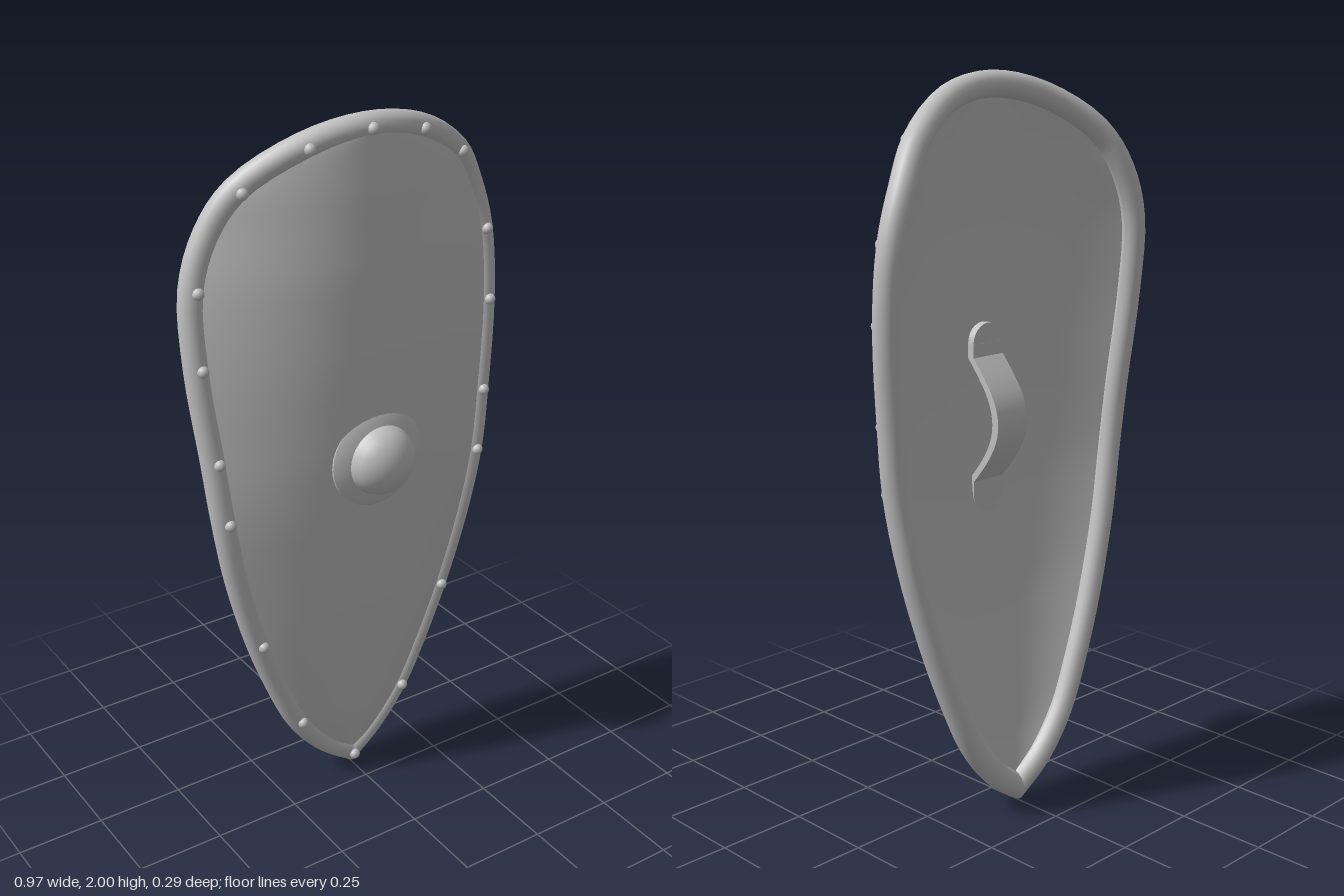
import * as THREE from 'three';
import { toCreasedNormals } from 'three/addons/utils/BufferGeometryUtils.js';

// Centre line of the rim, bottom tip to top, on the +x side: x, y, z
const EDGE = [
  [0, 0.04, -0.095], [0.09, 0.11, -0.1], [0.175, 0.22, -0.1], [0.24, 0.36, -0.095],
  [0.305, 0.535, -0.087], [0.368, 0.76, -0.075], [0.405, 0.96, -0.066], [0.425, 1.14, -0.072],
  [0.45, 1.4, -0.09], [0.445, 1.6, -0.105], [0.4, 1.735, -0.1], [0.33, 1.84, -0.073],
  [0.17, 1.935, -0.02], [0, 1.965, 0],
].map(p => new THREE.Vector3(...p));
const RIVETED = [0, 2, 4, 6, 7, 8, 9, 11, 12, 13];

// Front face depth along the middle of the board: y, z
const RIDGE = [[0.04, -0.075], [0.2, -0.038], [0.4, -0.006], [0.6, 0.024], [0.9, 0.05],
  [1.1, 0.062], [1.35, 0.066], [1.6, 0.06], [1.8, 0.046], [1.965, 0.03]];
const RIM_R = 0.035, STEPS = 104;

function ridgeZ(y) {
  let k = 0;
  while (k < RIDGE.length - 2 && RIDGE[k + 1][0] < y) k++;
  const [y0, z0] = RIDGE[k], [y1, z1] = RIDGE[k + 1];
  return THREE.MathUtils.mapLinear(y, y0, y1, z0, z1);
}

// Smooth surface from a rule giving a point for each row and column
function surface(rows, cols, point) {
  const pos = [], index = [], w = cols + 1;
  for (let i = 0; i <= rows; i++) {
    for (let j = 0; j <= cols; j++) pos.push(...point(i, j).toArray());
  }
  for (let i = 0; i < rows; i++) {
    for (let j = 0; j < cols; j++) {
      const a = i * w + j, b = a + w;
      index.push(a, b, a + 1, b, b + 1, a + 1);
    }
  }
  const geo = new THREE.BufferGeometry();
  geo.setAttribute('position', new THREE.Float32BufferAttribute(pos, 3));
  geo.setIndex(index);
  geo.computeVertexNormals();
  return geo;
}

export function createModel() {
  const group = new THREE.Group();
  group.name = 'kiteShield';
  const grey = new THREE.MeshStandardMaterial({ color: 0xc0c0c0 });
  grey.name = 'plain grey';
  const add = (name, geo, parent = group) => {
    const mesh = new THREE.Mesh(geo, grey);
    mesh.name = name;
    parent.add(mesh);
    return mesh;
  };

  const mirrored = EDGE.slice(0, -1).reverse().map(p => new THREE.Vector3(-p.x, p.y, p.z));
  const curve = new THREE.CatmullRomCurve3([...EDGE, ...mirrored]);
  const path = curve.getPoints(STEPS);

  // Curved board, front and back skins
  const COLS = 24;
  const skin = (side, offset) => surface(STEPS / 2, COLS, (i, j) => {
    const p = path[i], t = side * (1 - 2 * j / COLS);
    const edge = p.z + 0.02;
    const z = edge + (ridgeZ(p.y) - edge) * (1 - t * t) + offset;
    return new THREE.Vector3(p.x * t, p.y, z);
  });
  add('boardFront', skin(1, 0));
  add('boardBack', skin(-1, -0.03));

  // Round rim with a mitred bottom tip
  const SIDES = 16;
  add('rim', surface(STEPS, SIDES, (i, j) => {
    const tip = i === 0 || i === STEPS;
    const t = curve.getTangent(i / STEPS);
    const n = tip ? new THREE.Vector3(0, -1, 0) : new THREE.Vector3(t.y, -t.x, 0).normalize();
    const b = tip ? new THREE.Vector3(0, 0, 1) : n.clone().cross(t).normalize();
    const phi = -Math.PI + j / SIDES * Math.PI * 2;
    return path[i].clone()
      .addScaledVector(n, Math.cos(phi) * RIM_R * (tip ? 1.14 : 1))
      .addScaledVector(b, Math.sin(phi) * RIM_R);
  }));

  // Rivets along the rim
  const rivetGeo = new THREE.SphereGeometry(0.016, 12, 8);
  const rivets = new THREE.Group();
  rivets.name = 'rivets';
  group.add(rivets);
  for (const k of RIVETED) {
    const p = EDGE[k];
    for (const s of p.x > 0 ? [1, -1] : [1]) {
      add('rivet', rivetGeo, rivets).position.set(s * p.x, p.y, p.z + 0.034);
    }
  }

  // Boss: flange and dome
  const lathe = (name, pts) => {
    const geo = new THREE.LatheGeometry(pts.map(p => new THREE.Vector2(...p)), 32);
    geo.rotateX(Math.PI / 2);
    add(name, geo).position.y = 1.085;
  };
  lathe('bossFlange', [[0.14, 0.035], [0.14, 0.055]]);
  lathe('bossFlangeFace', [[0.14, 0.055], [0.12, 0.067], [0.09, 0.075]]);
  lathe('bossDome', [[0.097, 0.065], [0.097, 0.08], [0.088, 0.103], [0.07, 0.123],
    [0.045, 0.137], [0.02, 0.144], [0, 0.145]]);

  // Arched grip on the back with round-ended tabs
  const WIDTH = 0.11, HALF = 0.17, TAB = 0.205, THICK = 0.022;
  const outer = [[0.012, -TAB]];
  for (let i = 0; i <= 20; i++) {
    const u = i / 10 - 1;
    outer.push([0.012 - 0.092 * Math.cos(u * Math.PI / 2), u * HALF]);
  }
  outer.push([0.012, TAB]);
  const inner = outer.map(([z, y]) => [z + THICK, y]).reverse();
  const shape = new THREE.Shape([...outer, ...inner].map(p => new THREE.Vector2(...p)));
  const strap = new THREE.ExtrudeGeometry(shape, { depth: WIDTH, bevelEnabled: false });
  strap.translate(0, 0, -WIDTH / 2);
  strap.rotateY(-Math.PI / 2);
  const grip = new THREE.Group();
  grip.name = 'grip';
  grip.position.y = 1.085;
  group.add(grip);
  add('gripStrap', toCreasedNormals(strap, 0.6), grip);
  for (const s of [1, -1]) {
    const tab = new THREE.CylinderGeometry(WIDTH / 2, WIDTH / 2, THICK, 24);
    tab.rotateX(Math.PI / 2);
    add('gripTab', tab, grip).position.set(0, s * TAB, 0.0125 + THICK / 2);
  }
  return group;
}
